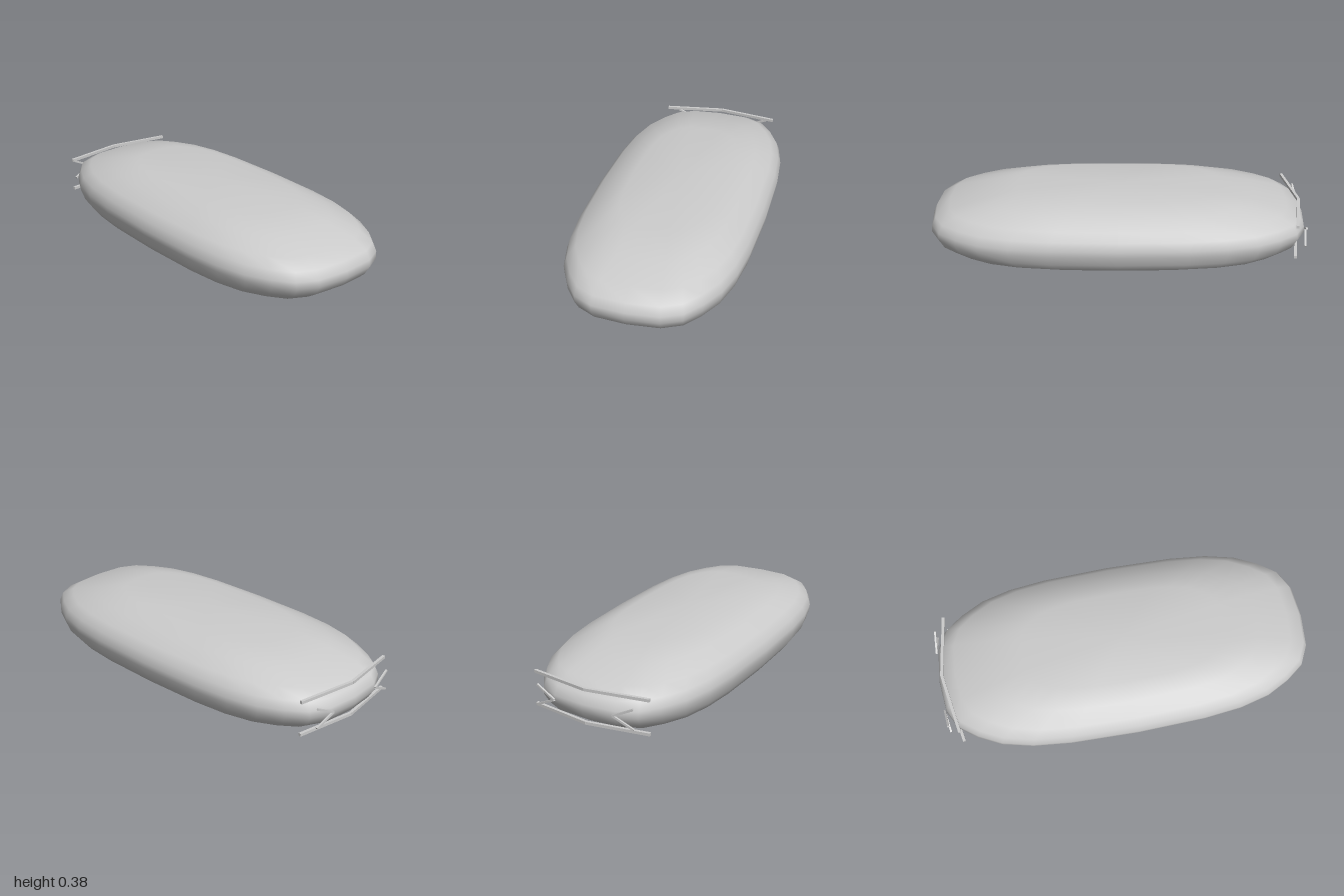
import * as THREE from 'three';

const material = new THREE.MeshStandardMaterial({ color: 0xcccccc });

// Plan outline of one quarter, as fractions of half width and half length
const QUARTER = [[0, 1], [0.36, 0.985], [0.57, 0.935], [0.72, 0.84], [0.85, 0.72], [0.935, 0.56], [0.98, 0.36], [1, 0]];

// Levels of the body: height, half width, half length
const LEVELS = [
  [0, 0.26, 0.56], [0.045, 0.355, 0.77], [0.09, 0.43, 0.91], [0.13, 0.457, 0.97], [0.18, 0.47, 1],
  [0.215, 0.475, 0.995], [0.26, 0.46, 0.975], [0.302, 0.425, 0.9], [0.345, 0.345, 0.73], [0.385, 0.25, 0.54],
];

function fullOutline() {
  const right = [...QUARTER, ...QUARTER.slice(0, -1).reverse().map(([x, z]) => [x, -z])];
  const left = right.slice(1, -1).reverse().map(([x, z]) => [-x, z]);
  return [...right, ...left];
}

function bodyGeometry() {
  const outline = fullOutline();
  const n = outline.length;
  const positions = [];
  const index = [];
  for (const [y, w, l] of LEVELS) {
    for (const [x, z] of outline) positions.push(x * w, y, z * l);
  }
  for (let i = 0; i < LEVELS.length - 1; i++) {
    for (let j = 0; j < n; j++) {
      const k = (j + 1) % n;
      const a = i * n + j, b = i * n + k;
      index.push(a, b, a + n, b, b + n, a + n);
    }
  }
  // Flat caps below and above
  const bottom = positions.length / 3;
  const last = (LEVELS.length - 1) * n;
  positions.push(0, LEVELS[0][0], 0, 0, LEVELS[LEVELS.length - 1][0], 0);
  for (let j = 0; j < n; j++) {
    const k = (j + 1) % n;
    index.push(bottom, k, j, bottom + 1, last + j, last + k);
  }
  const geometry = new THREE.BufferGeometry();
  geometry.setAttribute('position', new THREE.Float32BufferAttribute(positions, 3));
  geometry.setIndex(index);
  geometry.computeVertexNormals();
  return geometry;
}

// Square rod between two points
function rod(from, to, thickness, name) {
  const a = new THREE.Vector3(...from), b = new THREE.Vector3(...to);
  const mesh = new THREE.Mesh(new THREE.BoxGeometry(thickness, thickness, a.distanceTo(b)), material);
  mesh.position.copy(a).add(b).multiplyScalar(0.5);
  mesh.lookAt(b);
  mesh.name = name;
  return mesh;
}

export function createModel() {
  const model = new THREE.Group();
  model.name = 'roundedBody';

  const body = new THREE.Mesh(bodyGeometry(), material);
  body.name = 'body';
  model.add(body);

  // Two bent bars across the back
  for (const [y, name] of [[0.285, 'upperBackBar'], [0.11, 'lowerBackBar']]) {
    const bar = new THREE.Group();
    bar.name = name;
    for (const s of [-1, 1]) bar.add(rod([0, y, -0.972], [s * 0.325, y, -0.921], 0.015, 'barHalf'));
    model.add(bar);
  }

  // Sideways chevrons with the point towards the middle
  for (const s of [-1, 1]) {
    const chevron = new THREE.Group();
    chevron.name = s > 0 ? 'leftChevron' : 'rightChevron';
    for (const v of [-1, 1]) {
      chevron.add(rod([s * 0.165, 0.197, -0.992], [s * 0.272, 0.197 + v * 0.052, -0.979], 0.01, 'chevronArm'));
    }
    model.add(chevron);
  }
  return model;
}
